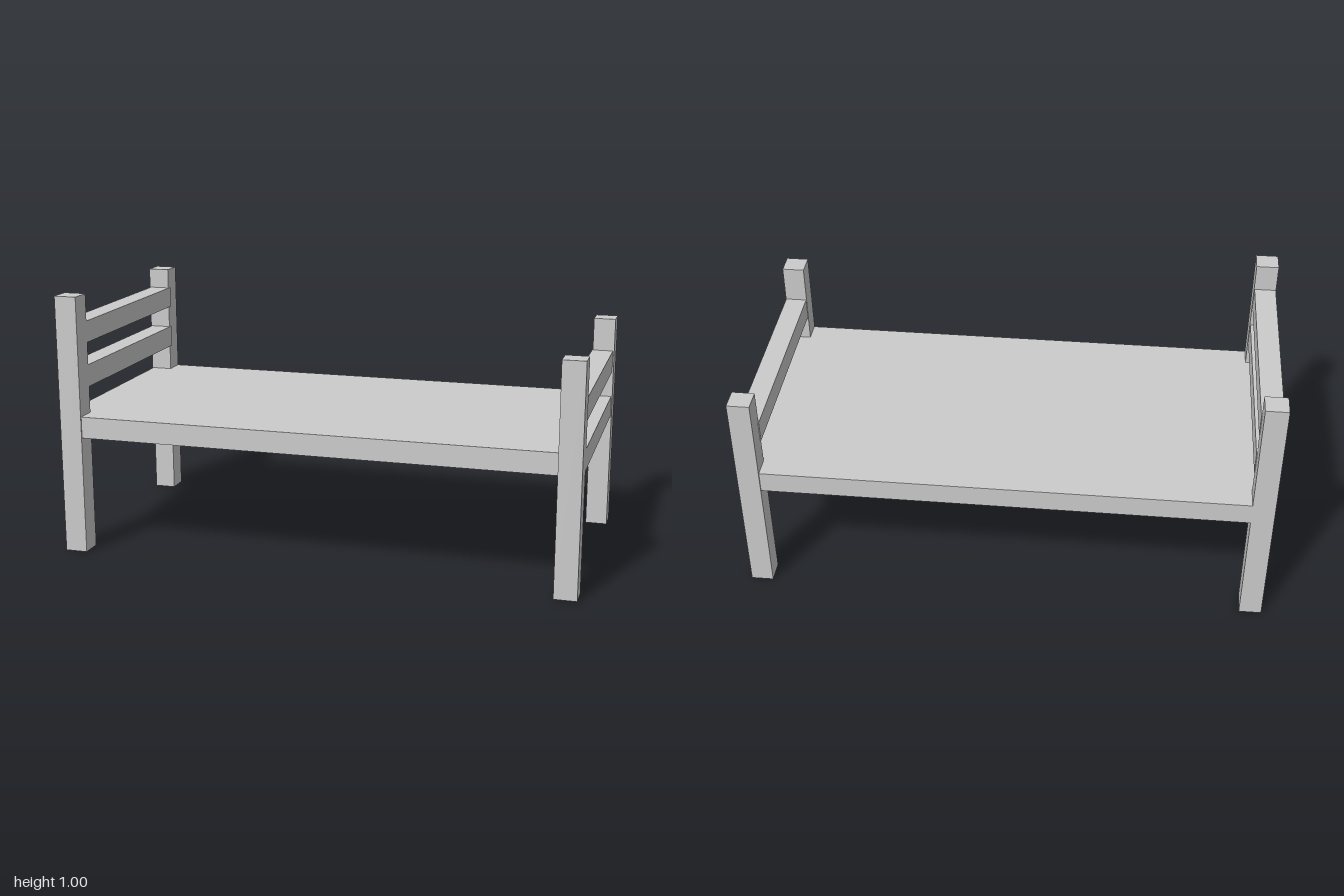
import * as THREE from 'three';

export function createModel() {
  const group = new THREE.Group();
  const material = new THREE.MeshStandardMaterial({ color: 0xcccccc, flatShading: true });

  // Box given by its lower and upper limits on each axis
  function box(name, [x0, x1], [y0, y1], [z0, z1]) {
    const mesh = new THREE.Mesh(new THREE.BoxGeometry(x1 - x0, y1 - y0, z1 - z0), material);
    mesh.position.set((x0 + x1) / 2, (y0 + y1) / 2, (z0 + z1) / 2);
    mesh.name = name;
    group.add(mesh);
  }

  // Bed board, flush with the outside of the posts
  box('bedBoard', [-0.996, 0.996], [0.458, 0.541], [-0.488, 0.488]);

  // Corner posts, each of a slightly different height
  box('headPostFront', [-0.996, -0.91], [0, 1.004], [0.408, 0.493]);
  box('headPostBack', [-1, -0.915], [0, 0.977], [-0.488, -0.403]);
  box('footPostFront', [0.91, 0.996], [0, 0.873], [0.408, 0.493]);
  box('footPostBack', [0.915, 1], [0, 0.857], [-0.493, -0.409]);

  // Cross rails: two at the head, one at the foot
  const railDepth = [-0.418, 0.42];
  box('headRailUpper', [-0.995, -0.912], [0.815, 0.898], railDepth);
  box('headRailLower', [-0.995, -0.912], [0.642, 0.728], railDepth);
  box('footRail', [0.912, 0.995], [0.642, 0.728], railDepth);

  return group;
}
